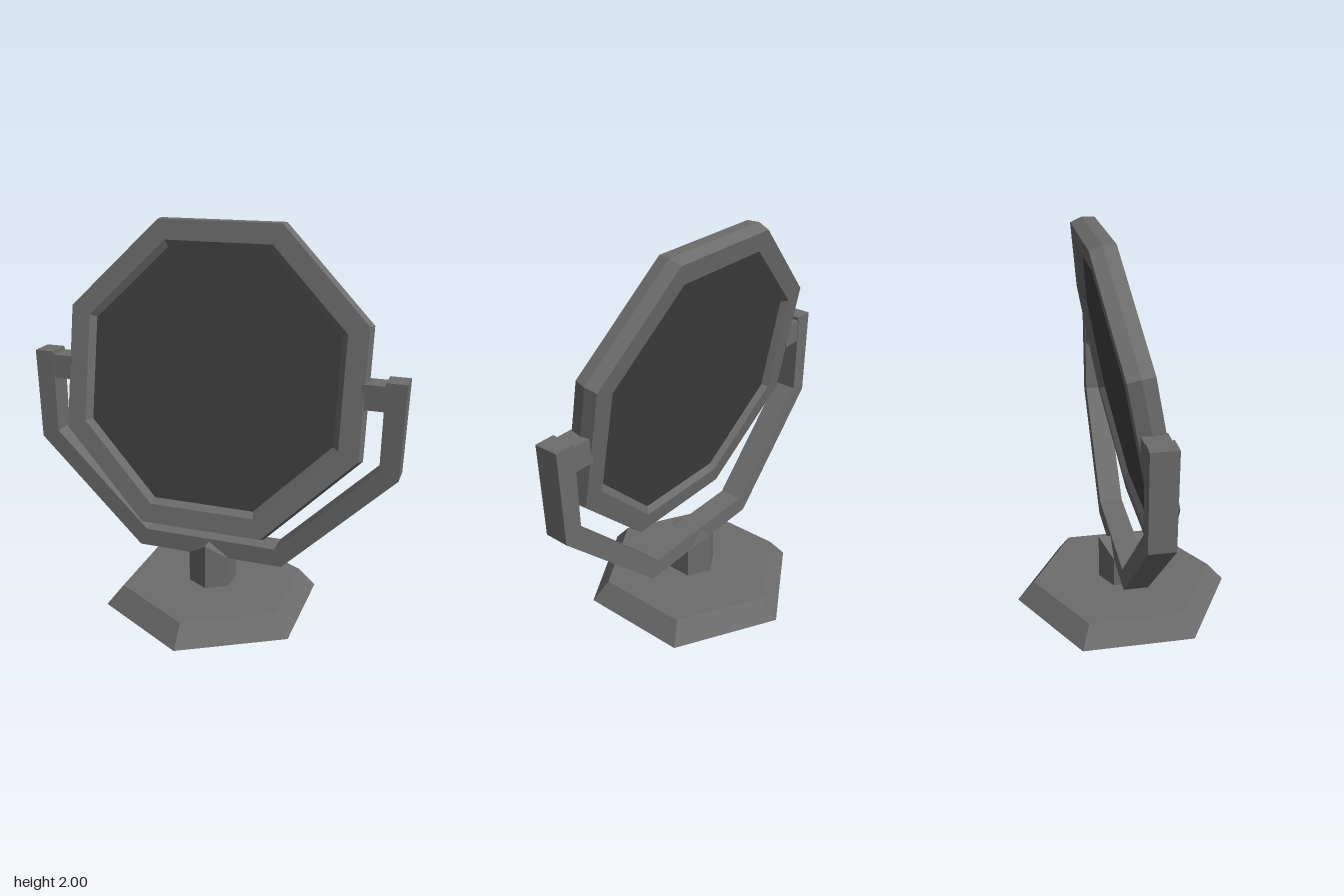
import * as THREE from 'three';

export function createModel() {
  const model = new THREE.Group();
  model.name = 'tiltingTableMirror';
  const frameMat = new THREE.MeshStandardMaterial({ color: 0x6c6c6c, flatShading: true });
  const glassMat = new THREE.MeshStandardMaterial({ color: 0x3f3f3f, flatShading: true });

  function add(parent, name, geometry, material = frameMat) {
    const mesh = new THREE.Mesh(geometry, material);
    mesh.name = name;
    parent.add(mesh);
    return mesh;
  }

  // Hexagonal foot with sloping sides
  add(model, 'base', new THREE.CylinderGeometry(0.487, 0.577, 0.105, 6).translate(0, 0.0525, 0));

  // Hexagonal post whose top is a small gable running front to back
  const post = new THREE.CylinderGeometry(0.128, 0.128, 0.25, 6).translate(0, 0.225, 0);
  const p = post.attributes.position;
  for (let i = 0; i < p.count; i++) {
    if (p.getY(i) > 0.2) p.setY(i, Math.abs(p.getX(i)) > 0.05 ? 0.27 : 0.35);
  }
  add(model, 'post', post);

  // Angular yoke: one half outline, mirrored, then extruded
  const outer = [[0.395, 0.27], [0.96, 0.83], [0.972, 1.31]];
  const inner = [[0.87, 1.31], [0.865, 0.87], [0.357, 0.365]];
  const half = [...outer, ...inner];
  const outline = [...half, ...half.map(([x, y]) => [-x, y]).reverse()];
  const yokeShape = new THREE.Shape(outline.map(([x, y]) => new THREE.Vector2(x, y)));
  add(model, 'yoke', new THREE.ExtrudeGeometry(yokeShape, { depth: 0.126, bevelEnabled: false })
    .translate(0, 0, -0.063));

  // Tilted head carrying frame and glass
  const head = new THREE.Group();
  head.name = 'mirrorHead';
  head.position.y = 1.2275;
  head.rotation.x = -THREE.MathUtils.degToRad(10.6);
  model.add(head);

  // Octagonal frame: ridged outer edge, bevelled recess on both sides
  const toCorner = 1 / Math.cos(Math.PI / 8);
  const profile = [
    [0.772, -0.0625], [0.785, 0], [0.772, 0.0625], [0.672, 0.0625],
    [0.635, 0.03], [0.635, -0.03], [0.672, -0.0625], [0.772, -0.0625],
  ].map(([r, z]) => new THREE.Vector2(r * toCorner, z));
  add(head, 'frame', new THREE.LatheGeometry(profile, 8, Math.PI / 8).rotateX(Math.PI / 2));

  // Glass showing on the front and the back, its rim set into the frame
  const glassR = 0.66 * toCorner;
  add(head, 'glass', new THREE.CylinderGeometry(glassR, glassR, 0.07, 8, 1, false, Math.PI / 8)
    .rotateX(Math.PI / 2), glassMat);

  // Square pivots joining the head to the yoke
  for (const side of [1, -1]) {
    add(model, side > 0 ? 'leftPivot' : 'rightPivot', new THREE.BoxGeometry(0.13, 0.125, 0.12))
      .position.set(side * 0.825, 1.23, 0);
  }

  return model;
}
